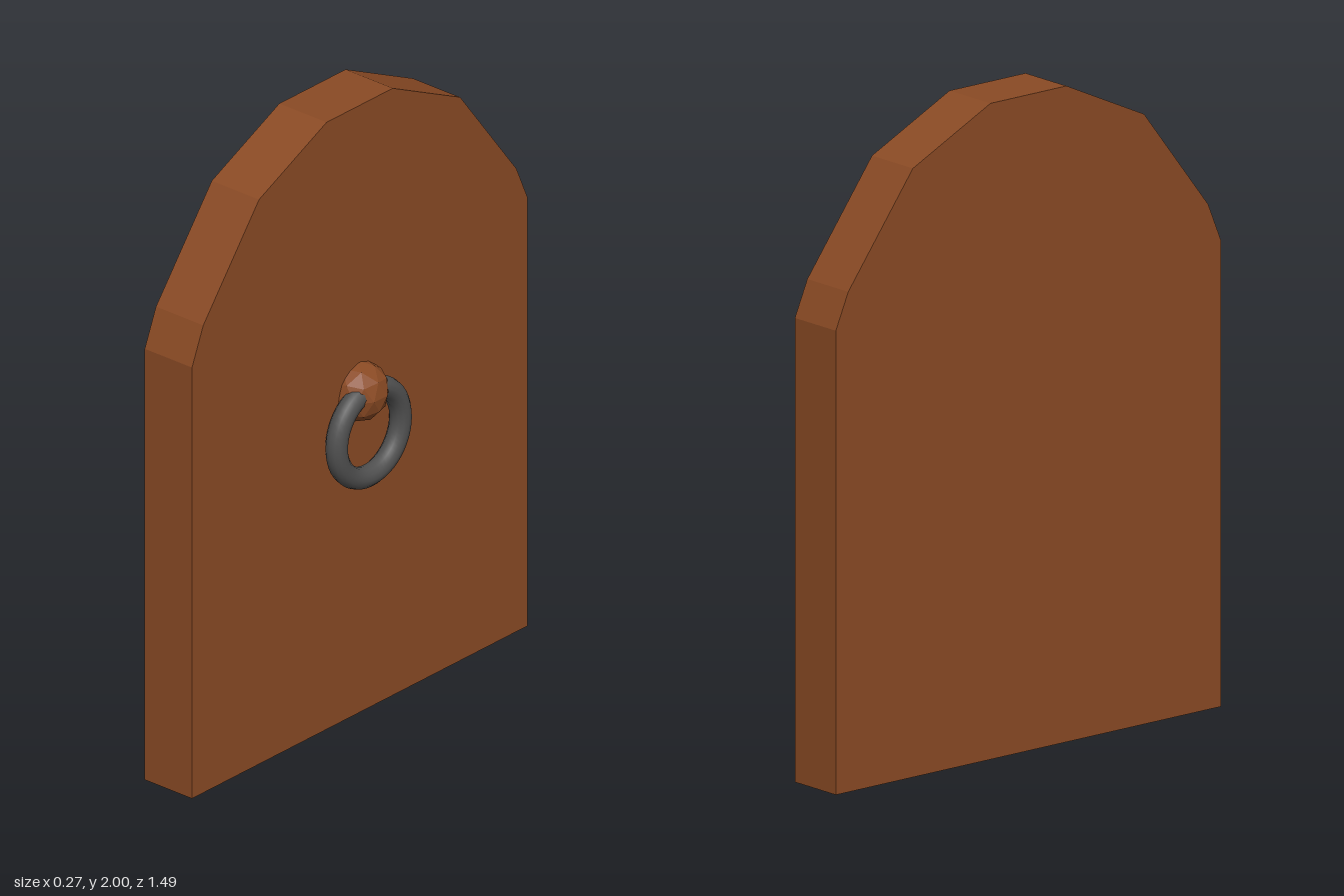
import * as THREE from 'three';

export function createModel() {
  const model = new THREE.Group();
  const wood = new THREE.MeshStandardMaterial({ color: 0x8a4a24, flatShading: true });
  const iron = new THREE.MeshStandardMaterial({ color: 0x505050 });

  const add = (name, geometry, material, x, y, z = 0) => {
    const mesh = new THREE.Mesh(geometry, material);
    mesh.name = name;
    mesh.position.set(x, y, z);
    model.add(mesh);
    return mesh;
  };

  // Door slab: faceted arch outline, extruded through the thickness
  const outline = [
    [-0.745, 0], [0.745, 0], [0.745, 1.415], [0.697, 1.525], [0.447, 1.856],
    [0.147, 2], [-0.147, 2], [-0.447, 1.86], [-0.695, 1.54], [-0.745, 1.42],
  ].map(([x, y]) => new THREE.Vector2(x, y));
  const slab = new THREE.ExtrudeGeometry(new THREE.Shape(outline), { depth: 0.185, bevelEnabled: false });
  slab.rotateY(Math.PI / 2);
  add('doorSlab', slab, wood, -0.135, 0);

  // Low-poly knob, half sunk into the door, with a vertex at the top
  const knob = new THREE.IcosahedronGeometry(0.096, 1);
  knob.rotateZ(Math.atan(2 / (1 + Math.sqrt(5))));
  add('knob', knob, wood, 0.042, 1.06);

  // Ring handle hanging from the knob
  const ring = new THREE.TorusGeometry(0.142, 0.034, 12, 48);
  ring.rotateY(Math.PI / 2);
  add('ringHandle', ring, iron, 0.085, 0.935);

  return model;
}
